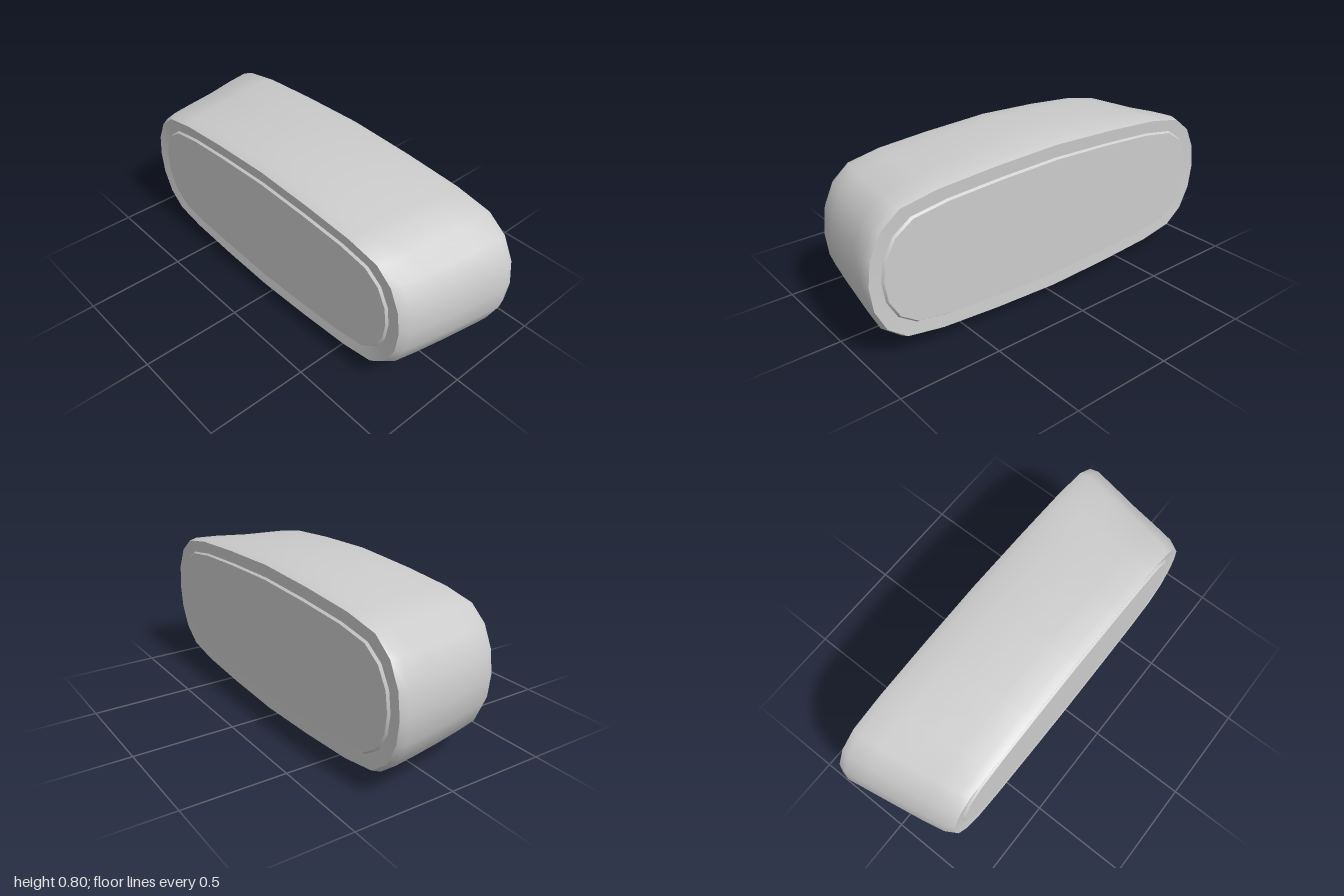
import * as THREE from 'three';

// One quarter of the rounded cross-section: [length ratio, height ratio]
const QUARTER = [[1, 0], [0.985, 0.32], [0.93, 0.62], [0.835, 0.82], [0.65, 0.91], [0.35, 0.965], [0, 1]];

// Mirror the quarter into a full closed outline
const upper = [...QUARTER, ...QUARTER.slice(0, -1).reverse().map(([z, y]) => [-z, y])];
const OUTLINE = [...upper, ...upper.slice(1, -1).reverse().map(([z, y]) => [z, -y])];

// Skin a series of sections { x, a: half length, b: half height, y: centre, pinch }
// running from -x to +x; pinch lowers the section towards its two ends.
function loft(sections) {
  const n = OUTLINE.length;
  const positions = [];
  const index = [];
  sections.forEach(({ x, a, b, y = 0.41, pinch = 0 }, i) => {
    for (const [u, v] of OUTLINE) {
      positions.push(x, y + b * v * (1 - pinch * u * u), a * u);
    }
    if (i === 0) return;
    for (let j = 0; j < n; j++) {
      const k = (j + 1) % n;
      const p = (i - 1) * n;
      const q = i * n;
      index.push(p + j, q + j, p + k, p + k, q + j, q + k);
    }
  });
  const geometry = new THREE.BufferGeometry();
  geometry.setAttribute('position', new THREE.Float32BufferAttribute(positions, 3));
  geometry.setIndex(index);
  geometry.computeVertexNormals();
  return geometry;
}

export function createModel() {
  const group = new THREE.Group();
  const material = new THREE.MeshStandardMaterial({ color: 0xcccccc });
  const add = (name, sections) => {
    const mesh = new THREE.Mesh(loft(sections), material);
    mesh.name = name;
    group.add(mesh);
  };

  // Outer band, tapering towards -x and swelling in the middle
  const small = { x: -0.298, a: 0.88, b: 0.345 };
  const large = { x: 0.293, a: 0.99, b: 0.365 };
  add('body', [
    small,
    { x: -0.255, a: 0.905, b: 0.368, y: 0.408, pinch: 0.03 },
    { x: -0.15, a: 0.928, b: 0.387, y: 0.404, pinch: 0.08 },
    { x: 0, a: 0.955, b: 0.4, y: 0.4, pinch: 0.1 },
    { x: 0.14, a: 0.98, b: 0.396, y: 0.404, pinch: 0.06 },
    { x: 0.25, a: 1, b: 0.384, y: 0.406, pinch: 0.02 },
    large,
  ]);

  // Each end: a rim, a small step and a flat panel
  for (const [side, end, a, b] of [['right', small, 0.815, 0.285], ['left', large, 0.93, 0.303]]) {
    const sign = Math.sign(end.x);
    const inner = { x: sign * 0.289, a, b };
    const edge = { x: sign * 0.3, a: a - 0.008, b: b - 0.008 };
    const centre = { x: sign * 0.3, a: 0, b: 0 };
    const ordered = (...list) => (sign > 0 ? list : list.reverse());
    add(side + 'Rim', ordered(end, inner));
    add(side + 'PanelStep', ordered(inner, edge));
    add(side + 'Panel', ordered(edge, centre));
  }
  return group;
}
